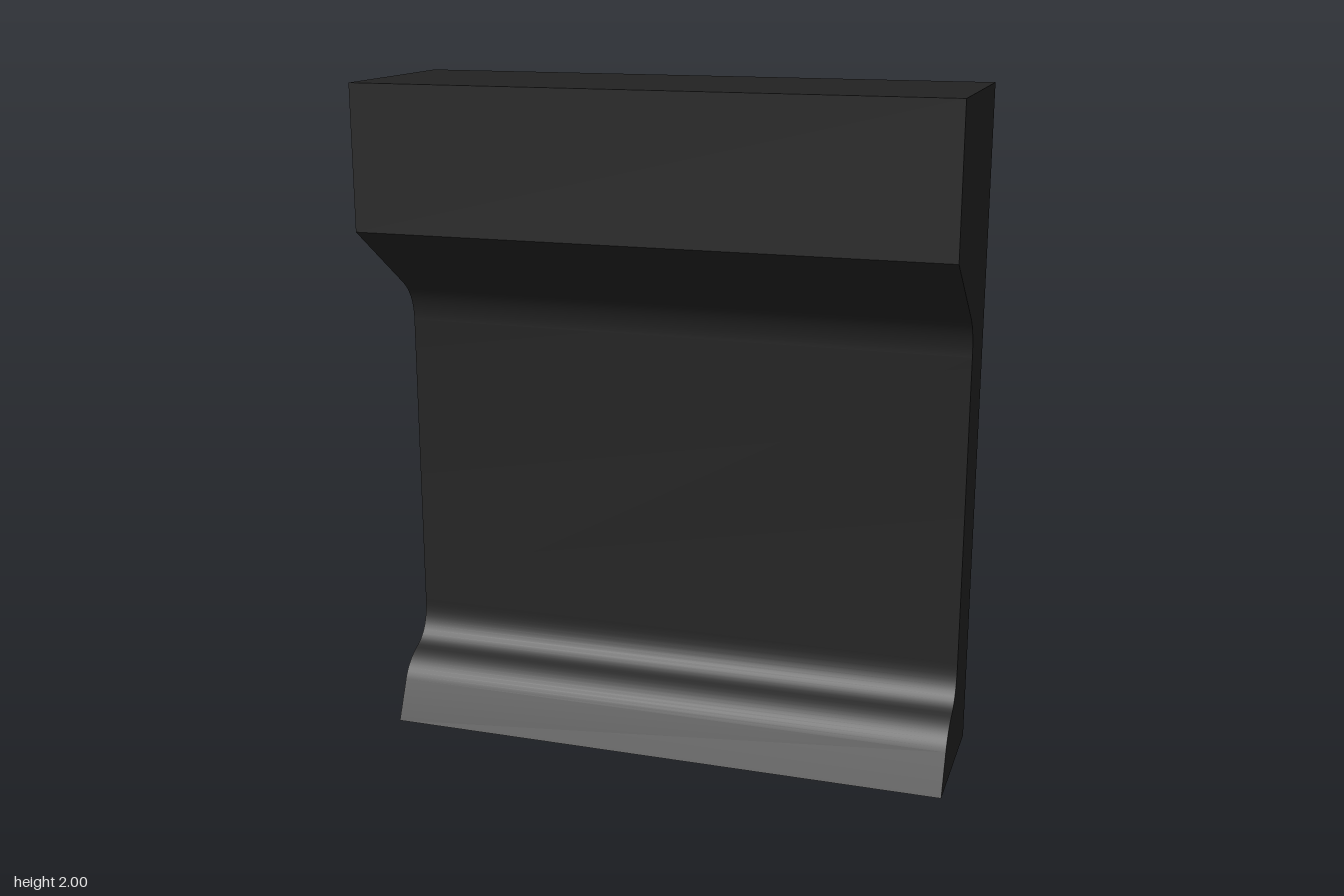
import * as THREE from 'three';
import { toCreasedNormals } from 'three/addons/utils/BufferGeometryUtils.js';

const HALF_WIDTH = 0.86;

// Side profile: shape x is the depth (front positive), shape y is the height
function mouldingProfile() {
  const s = new THREE.Shape();
  s.moveTo(-0.28, 0);
  s.lineTo(0.15, 0);
  // Flared foot with an S-curve up to the recessed face
  s.lineTo(0.095, 0.12);
  s.quadraticCurveTo(0.07, 0.175, 0, 0.2);
  s.quadraticCurveTo(-0.07, 0.228, -0.07, 0.33);
  // Recessed face, then a fillet into the sloped underside
  s.lineTo(-0.07, 1.255);
  s.quadraticCurveTo(-0.07, 1.337, 0, 1.385);
  s.lineTo(0.28, 1.58);
  // Overhanging top block
  s.lineTo(0.28, 2);
  s.lineTo(-0.28, 2);
  s.closePath();
  return s;
}

export function createModel() {
  const group = new THREE.Group();
  group.name = 'mouldedWall';

  const extruded = new THREE.ExtrudeGeometry(mouldingProfile(), {
    depth: HALF_WIDTH * 2,
    bevelEnabled: false,
    curveSegments: 10,
  });
  // Turn the profile so that it runs along x
  extruded.rotateY(-Math.PI / 2);
  extruded.translate(HALF_WIDTH, 0, 0);

  const wall = new THREE.Mesh(
    toCreasedNormals(extruded, 0.4),
    new THREE.MeshStandardMaterial({ color: 0x222222 })
  );
  wall.name = 'wallBlock';
  group.add(wall);
  return group;
}
